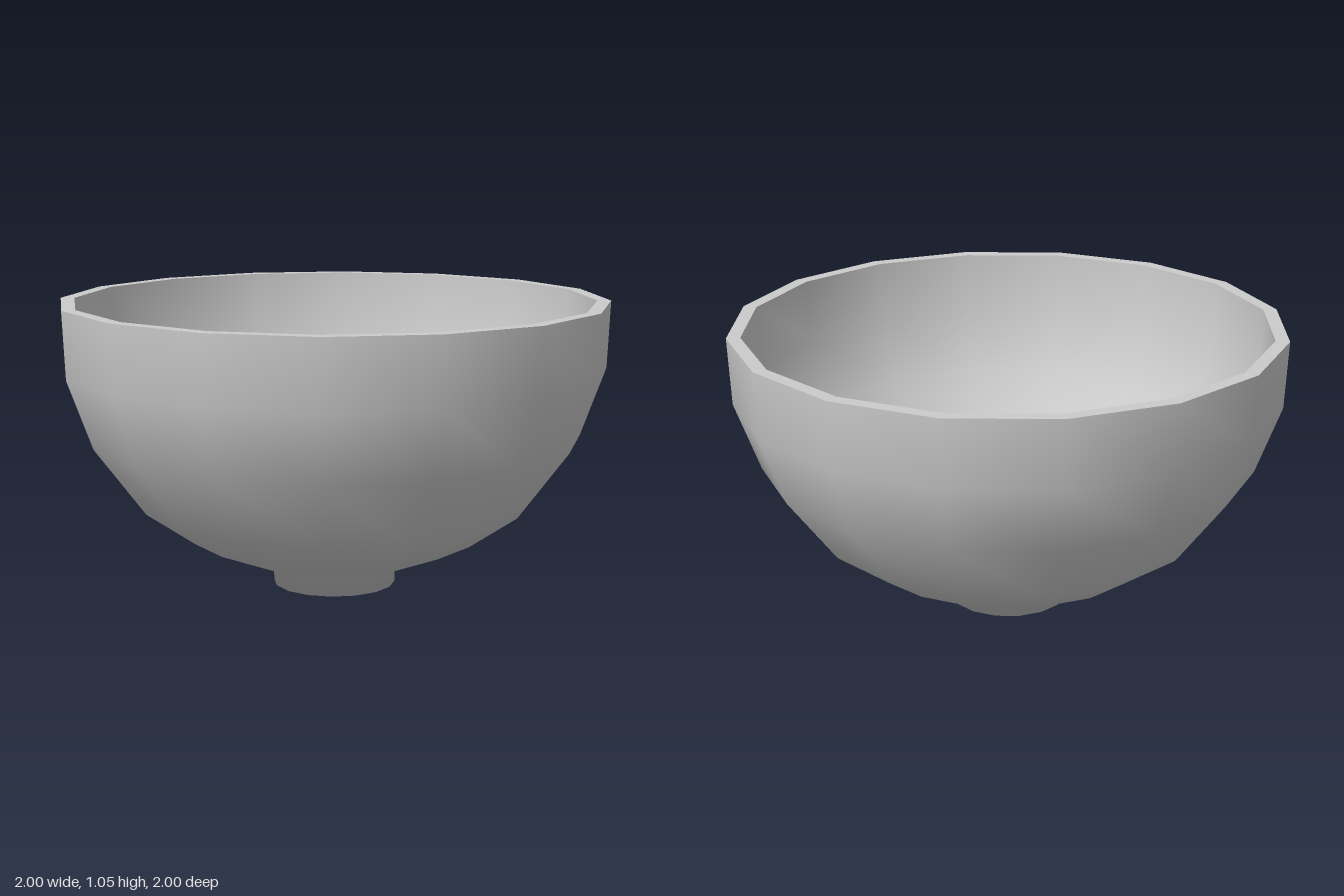
import * as THREE from 'three';

const SIDES = 16;
const TOP = 1.055;

export function createModel() {
  const group = new THREE.Group();
  group.name = 'bowl';
  const material = new THREE.MeshStandardMaterial({ color: 0xcccccc });

  // Revolve a profile of [radius, height] points; separate lathes keep the rim edges sharp
  const revolve = (name, profile) => {
    const points = profile.map(([r, y]) => new THREE.Vector2(r, y));
    const mesh = new THREE.Mesh(new THREE.LatheGeometry(points, SIDES), material);
    mesh.name = name;
    group.add(mesh);
  };

  // Closed foot and outer wall, from the underside up to the rim
  revolve('outerWallAndFoot', [
    [0, 0], [0.225, 0], [0.225, 0.06], [0.535, 0.185], [0.715, 0.31],
    [0.9, 0.56], [0.99, 0.81], [1, TOP],
  ]);

  // Flat rim
  revolve('rim', [[1, TOP], [0.95, TOP]]);

  // Inner wall, from the rim down to the floor
  revolve('innerWall', [
    [0.95, TOP], [0.94, 0.82], [0.855, 0.585], [0.68, 0.35],
    [0.51, 0.235], [0.21, 0.115], [0, 0.11],
  ]);

  return group;
}
